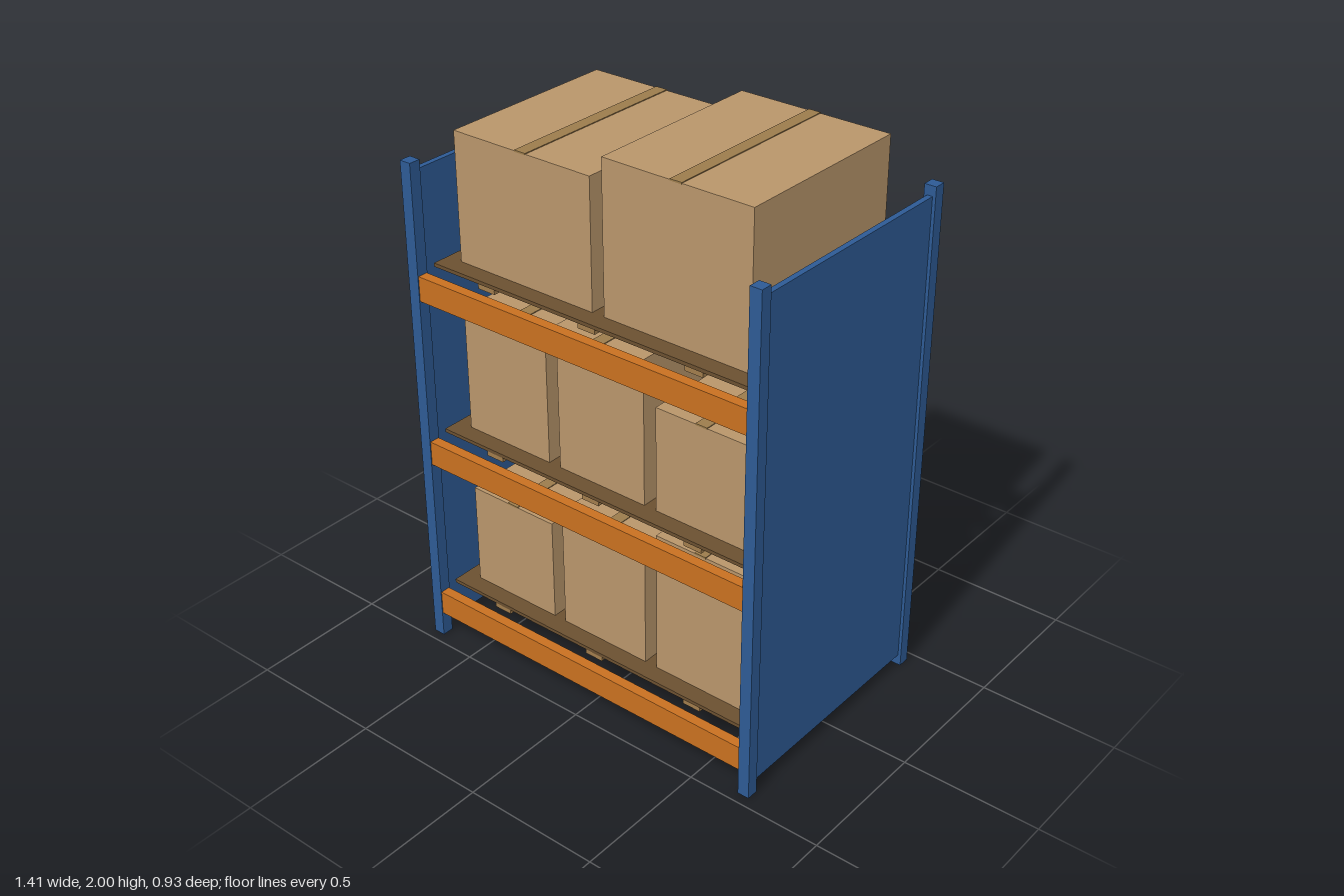
import * as THREE from 'three';

const paint = (color) => new THREE.MeshStandardMaterial({ color });

export function createModel() {
  const rack = new THREE.Group();
  rack.name = 'palletRack';
  const blue = paint(0x2d5a94), orange = paint(0xc87020), card = paint(0xb8956a);
  const tapeMat = paint(0x9c7c4c), slatWood = paint(0x6b5030), runnerWood = paint(0xa07c4c);

  // Box placed by its centre in x and z and its bottom in y
  const block = (parent, name, mat, w, h, d, x, y, z) => {
    const mesh = new THREE.Mesh(new THREE.BoxGeometry(w, h, d), mat);
    mesh.name = name;
    mesh.position.set(x, y + h / 2, z);
    parent.add(mesh);
  };

  // End frames: two posts with a solid panel between them
  for (const s of [-1, 1]) {
    const frame = new THREE.Group();
    frame.name = s > 0 ? 'leftEndFrame' : 'rightEndFrame';
    for (const z of [-0.442, 0.442]) block(frame, 'post', blue, 0.043, 1.83, 0.043, s * 0.685, 0, z);
    block(frame, 'sidePanel', blue, 0.02, 1.755, 0.85, s * 0.685, 0.04, 0);
    rack.add(frame);
  }

  // A carton with a strip of tape along its top
  const carton = (parent, x, y, w, h) => {
    const group = new THREE.Group();
    group.name = 'carton';
    block(group, 'cartonBody', card, w, h, 0.68, x, y, 0);
    block(group, 'tape', tapeMat, 0.045, 0.006, 0.682, x, y + h - 0.003, 0);
    parent.add(group);
  };

  // Carton heights from right to left on each level
  const levels = [
    [0.38, 0.455, 0.53],
    [0.455, 0.53, 0.38],
    [0.455, 0.53],
  ];
  levels.forEach((heights, i) => {
    const level = new THREE.Group();
    level.name = 'level' + (i + 1);
    level.position.y = 0.095 + i * 0.625;
    // Front and back beams
    for (const z of [-0.442, 0.442]) block(level, 'beam', orange, 1.335, 0.09, 0.037, 0, 0, z);
    // Pallet: three runners under five slats
    const pallet = new THREE.Group();
    pallet.name = 'pallet';
    for (const x of [-0.42, 0, 0.42]) block(pallet, 'runner', runnerWood, 0.07, 0.02, 0.8, x, 0.09, 0);
    for (let k = -2; k <= 2; k++) block(pallet, 'slat', slatWood, 1.296, 0.013, 0.12, 0, 0.109, k * 0.1715);
    level.add(pallet);
    // Cartons spread evenly across the pallet
    const n = heights.length, pitch = n === 3 ? 0.406 : 0.609, width = n === 3 ? 0.358 : 0.561;
    heights.forEach((h, k) => carton(level, -0.002 + (k - (n - 1) / 2) * pitch, 0.122, width, h));
    rack.add(level);
  });
  return rack;
}
